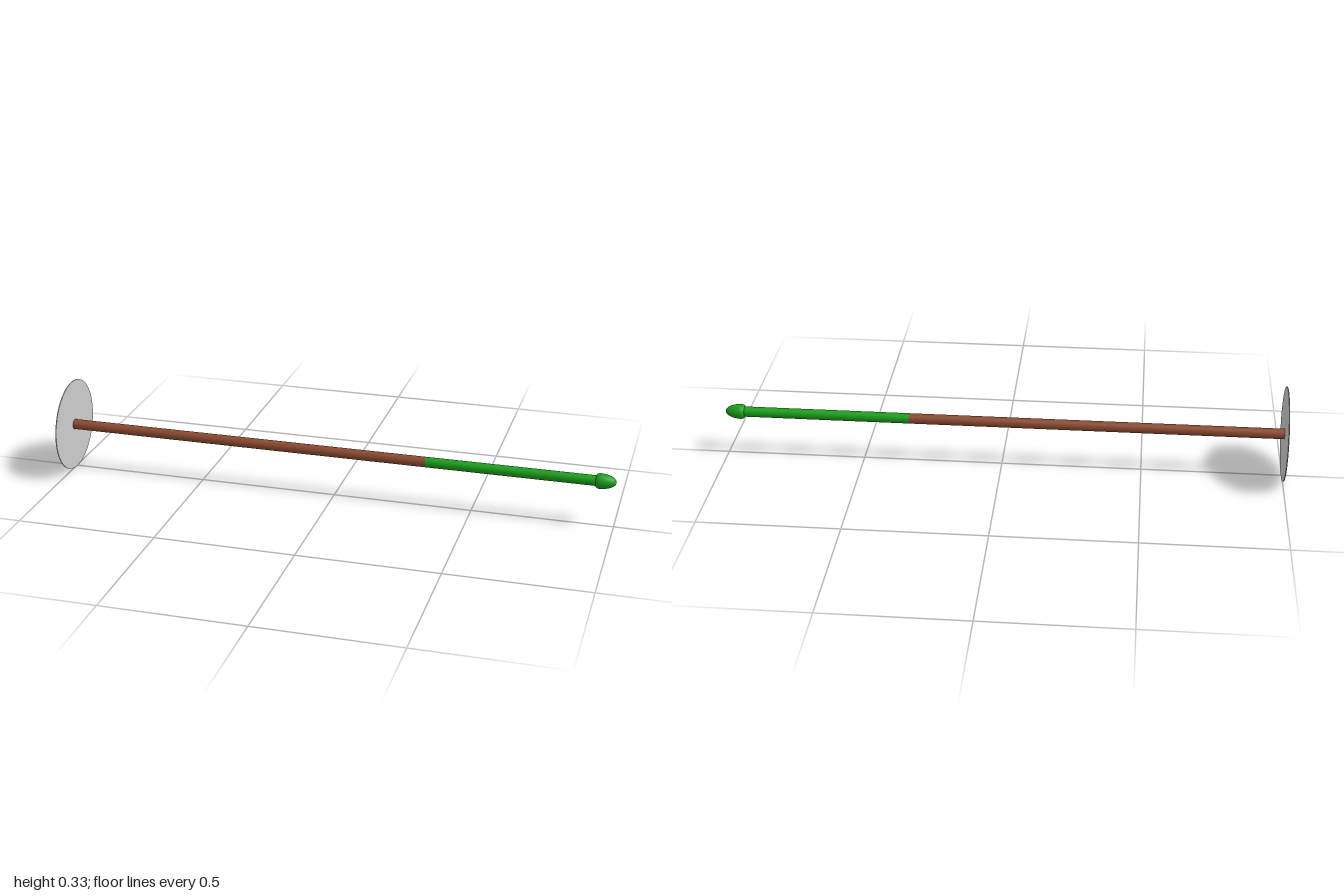
import * as THREE from 'three';

const AXIS_Y = 0.167;

export function createModel() {
  const model = new THREE.Group();
  const grey = new THREE.MeshStandardMaterial({ color: 0xcccccc });
  const brown = new THREE.MeshStandardMaterial({ color: 0x8b4a30 });
  const green = new THREE.MeshStandardMaterial({ color: 0x1a9e1a });

  // Round part lying along x, from x0 to x1
  function rod(name, radius, x0, x1, material, sides = 32) {
    const geometry = new THREE.CylinderGeometry(radius, radius, x1 - x0, sides);
    geometry.rotateZ(-Math.PI / 2);
    const mesh = new THREE.Mesh(geometry, material);
    mesh.name = name;
    mesh.position.set((x0 + x1) / 2, AXIS_Y, 0);
    model.add(mesh);
  }

  rod('endDisc', 0.167, -1, -0.997, grey, 64);
  rod('shaft', 0.0185, -0.997, 0.333, brown);
  rod('frontShaft', 0.0185, 0.333, 0.945, green);

  // Bulbous tip: short flared back, then an elliptical nose
  const profile = [new THREE.Vector2(0.0185, 0.93), new THREE.Vector2(0.024, 0.932)];
  for (let i = 0; i <= 12; i++) {
    const a = (i / 12) * Math.PI / 2;
    profile.push(new THREE.Vector2(0.027 * Math.cos(a), 0.942 + 0.058 * Math.sin(a)));
  }
  const tipGeometry = new THREE.LatheGeometry(profile, 32);
  tipGeometry.rotateZ(-Math.PI / 2);
  const tip = new THREE.Mesh(tipGeometry, green);
  tip.name = 'tip';
  tip.position.y = AXIS_Y;
  model.add(tip);

  return model;
}
